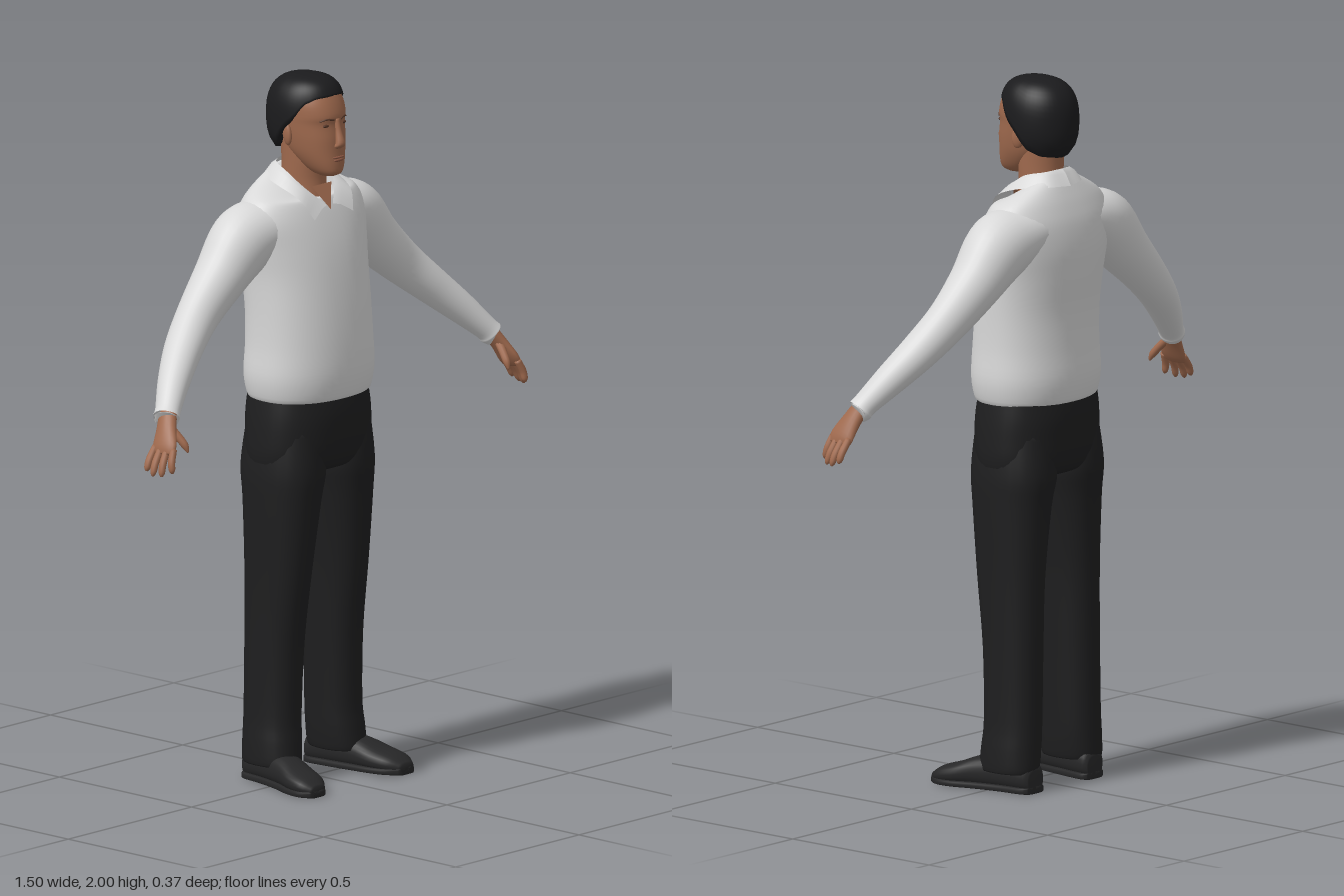
import * as THREE from 'three';

const V = (x, y, z) => new THREE.Vector3(x, y, z);
const X = V(1, 0, 0), Y = V(0, 1, 0), Z = V(0, 0, 1);

// Catmull-Rom interpolation of every column of a table of sections
function smooth(rows, steps) {
  const out = [], at = i => rows[Math.max(0, Math.min(rows.length - 1, i))];
  for (let i = 0; i < rows.length - 1; i++)
    for (let k = 0; k < steps; k++) {
      const t = k / steps;
      out.push(rows[i].map((b, c) => {
        const a = at(i - 1)[c], d = at(i + 1)[c], e = at(i + 2)[c];
        return b + 0.5 * t * (d - a + t * (2 * a - 5 * b + 4 * d - e + t * (3 * (b - d) + e - a)));
      }));
    }
  out.push(rows[rows.length - 1]);
  return out;
}

// Surface through closed rings of equal point count, optionally capped
function skinRings(rings, capped = true) {
  const n = rings[0].length, pos = [], idx = [];
  rings.forEach(r => r.forEach(p => pos.push(p.x, p.y, p.z)));
  for (let i = 0; i < rings.length - 1; i++)
    for (let j = 0; j < n; j++) {
      const a = i * n + j, b = i * n + (j + 1) % n;
      idx.push(a, b, a + n, b, b + n, a + n);
    }
  if (capped) [0, rings.length - 1].forEach(i => {
    const m = rings[i].reduce((s, p) => s.add(p), V(0, 0, 0)).divideScalar(n);
    const c = pos.length / 3;
    pos.push(m.x, m.y, m.z);
    for (let j = 0; j < n; j++) {
      const a = i * n + j, b = i * n + (j + 1) % n;
      idx.push(...(i ? [a, b, c] : [b, a, c]));
    }
  });
  const g = new THREE.BufferGeometry();
  g.setAttribute('position', new THREE.Float32BufferAttribute(pos, 3));
  g.setIndex(idx);
  g.computeVertexNormals();
  return g;
}

// Loft of superellipses; row = [x, y, z, radius across, radius along ref, tilt].
// With dir, all sections face that axis and rows must advance along it.
function loft(rows, { ref = Z, dir = null, power = 2, segs = 28, steps = 4 } = {}) {
  const r = smooth(rows, steps), c = r.map(q => V(q[0], q[1], q[2]));
  const sp = x => Math.sign(x) * Math.abs(x) ** (2 / power);
  return skinRings(r.map((q, i) => {
    const t = dir || c[Math.min(i + 1, c.length - 1)].clone().sub(c[Math.max(i - 1, 0)]).normalize();
    const v = ref.clone().addScaledVector(t, -ref.dot(t)).normalize(), u = v.clone().cross(t);
    return Array.from({ length: segs }, (_, j) => {
      const a = j / segs * Math.PI * 2, dv = q[4] * sp(Math.sin(a));
      const p = c[i].clone().addScaledVector(u, q[3] * sp(Math.cos(a))).addScaledVector(v, dv);
      p.y -= (q[5] || 0) * dv;
      return p;
    });
  }));
}

// Upright section from left, right, front and back limits
const level = (y, x0, x1, zf, zb, tilt = 0) =>
  [(x0 + x1) / 2, y, (zf + zb) / 2, (x1 - x0) / 2, (zf - zb) / 2, tilt];

// Hair cap whose lower edge follows a hairline, squarer at the front
function hairGeometry() {
  const line = [[0, 1.952], [.6, 1.947], [.95, 1.93], [1.25, 1.885], [1.5, 1.86], [1.8, 1.81], [2.2, 1.79], [Math.PI, 1.78]];
  const low = a => {
    const k = Math.max(1, line.findIndex(l => a <= l[0] + 1e-6));
    return THREE.MathUtils.mapLinear(a, line[k - 1][0], line[k][0], line[k - 1][1], line[k][1]);
  };
  const rings = [], N = 48, M = 16;
  for (let i = -1; i <= M; i++)
    rings.push(Array.from({ length: N }, (_, j) => {
      const a = j / N * Math.PI * 2, yl = low(Math.min(a, Math.PI * 2 - a));
      const t = 1 - Math.max(i, 0) / M, e = 2.6 + .7 * Math.max(0, Math.cos(a));
      const y = 2 - (2 - yl) * t * t;
      const h = Math.max(0, 1 - Math.abs((y - 1.88) / .12) ** e) ** (1 / e) * (i < 0 ? .82 : 1);
      return V(.1 * h * Math.sin(a), y, -.035 + .117 * h * Math.cos(a));
    }));
  return skinRings(rings, false);
}

// Half of the folded collar: strip between a neck edge and an outer edge
function collarGeometry(s) {
  const curve = pts => new THREE.CatmullRomCurve3(pts.map(p => V(p[0] * s, p[1], p[2]))).getPoints(20);
  const inner = curve([[0, 1.75, -.118], [.05, 1.745, -.1], [.073, 1.73, -.04], [.06, 1.69, .015], [.012, 1.638, .057]]);
  const outer = curve([[0, 1.705, -.15], [.075, 1.708, -.125], [.11, 1.698, -.045], [.102, 1.663, .04], [.078, 1.608, .073]]);
  const pos = [], idx = [];
  inner.forEach((p, i) => {
    const o = outer[i], m = p.clone().lerp(o, .4);
    m.y += .006;
    [p, m, o].forEach(q => pos.push(q.x, q.y, q.z));
    if (i) for (let k = 0; k < 2; k++) {
      const a = i * 3 + k, b = a - 3;
      idx.push(...(s > 0 ? [b, b + 1, a, a, b + 1, a + 1] : [b, a, b + 1, a, a + 1, b + 1]));
    }
  });
  const g = new THREE.BufferGeometry();
  g.setAttribute('position', new THREE.Float32BufferAttribute(pos, 3));
  g.setIndex(idx);
  g.computeVertexNormals();
  return g;
}

export function createModel() {
  const model = new THREE.Group();
  const mat = (name, color) => Object.assign(new THREE.MeshStandardMaterial({ color }), { name });
  const skin = mat('skin', 0xa06a4e), lip = mat('lips', 0x8c5743), hair = mat('hair', 0x1b1b1d);
  const shirt = mat('shirt', 0xd8d8d8), trousers = mat('trousers', 0x1e1e1f), shoe = mat('shoes', 0x272728);
  const eye = mat('eyes', 0x583829);
  shirt.side = skin.side = THREE.DoubleSide;
  const add = (name, geo, m) => {
    const mesh = new THREE.Mesh(geo, m);
    mesh.name = name;
    model.add(mesh);
    return mesh;
  };
  const blob = (name, m, p, r) => {
    const b = add(name, new THREE.SphereGeometry(1, 18, 12), m);
    b.position.set(...p);
    b.scale.set(...r);
    return b;
  };

  // Shirt body with a hem that tucks under
  const sym = (y, w, f, b, t) => level(y, -w, w, f, b, t);
  add('shirtBody', loft([
    sym(1.105, .175, .105, -.15), sym(1.098, .188, .118, -.162), sym(1.16, .2, .128, -.172),
    sym(1.25, .195, .125, -.168), sym(1.35, .195, .115, -.168), sym(1.45, .2, .1, -.178),
    sym(1.53, .212, .083, -.183), sym(1.6, .222, .062, -.176), sym(1.65, .198, .042, -.162),
    sym(1.675, .163, .032, -.145, .2), sym(1.695, .1, .022, -.125, .5), sym(1.7, .07, .01, -.11, .6)
  ], { dir: Y, power: 2.25, segs: 48 }), shirt);

  // Seat of the trousers
  add('trouserSeat', loft([
    sym(.885, .15, .06, -.115), sym(.9, .185, .088, -.142), sym(.94, .196, .104, -.156),
    sym(1, .195, .11, -.16), sym(1.06, .19, .11, -.162), sym(1.13, .18, .1, -.155)
  ], { dir: Y, power: 2.4, segs: 48 }), trousers);

  // Neck, open chest and head
  add('neck', loft([[0, 1.63, -.03, .052, .065], [0, 1.7, -.04, .058, .064], [0, 1.76, -.04, .06, .066],
    [0, 1.82, -.045, .062, .066]], { dir: Y }), skin);
  const chest = new THREE.BufferGeometry().setFromPoints([V(-.04, 1.69, .025), V(0, 1.623, .062), V(.04, 1.69, .025)]);
  chest.computeVertexNormals();
  add('openNeck', chest, skin);
  add('head', loft([
    sym(1.722, .02, .074, .02), sym(1.732, .036, .091, -.005), sym(1.755, .052, .094, -.04),
    sym(1.79, .067, .092, -.08), sym(1.83, .076, .09, -.105), sym(1.87, .081, .085, -.12),
    sym(1.895, .083, .088, -.125), sym(1.93, .082, .078, -.12), sym(1.965, .065, .062, -.09)
  ], { dir: Y, power: 2.2, segs: 36 }), skin);
  add('nose', loft([[0, 1.803, .088, .01, .006], [0, 1.81, .093, .017, .012], [0, 1.823, .097, .014, .013],
    [0, 1.855, .089, .009, .01], [0, 1.888, .082, .008, .008]], { dir: Y, segs: 16 }), skin);
  blob('upperLip', lip, [0, 1.778, .089], [.023, .004, .007]);
  blob('lowerLip', lip, [0, 1.77, .09], [.019, .005, .006]);

  for (const s of [1, -1]) {
    const side = s > 0 ? 'left' : 'right';
    const put = (name, rows, m, opt) => add(side + name, loft(rows.map(r => [r[0] * s, ...r.slice(1)]), opt), m);

    // Face details and ear
    blob(side + 'Eye', eye, [.033 * s, 1.87, .0745], [.013, .005, .006]);
    put('Brow', [[.014, 1.885, .086, .003, .003], [.034, 1.889, .08, .003, .003], [.053, 1.883, .067, .002, .003]],
      eye, { segs: 8 });
    blob(side + 'Ear', skin, [.082 * s, 1.84, -.028], [.01, .033, .019]).rotation.set(-.15, .3 * s, 0);
    add(side + 'Collar', collarGeometry(s), shirt);

    // Sleeve growing out of the shoulder, down to the cuff
    put('Sleeve', [
      [.05, 1.6, -.066, .06, .1], [.15, 1.577, -.068, .085, .097], [.225, 1.545, -.07, .096, .09], [.31, 1.467, -.068, .077, .075],
      [.41, 1.38, -.057, .063, .06], [.5, 1.303, -.03, .053, .055], [.58, 1.23, .008, .044, .046],
      [.642, 1.167, .044, .034, .037], [.657, 1.15, .052, .035, .038], [.655, 1.153, .051, .025, .028]
    ], shirt, { steps: 5 });

    // Palm, fingers and thumb
    put('Palm', [[.64, 1.175, .045, .021, .026], [.672, 1.125, .066, .019, .031],
      [.697, 1.08, .082, .016, .041], [.707, 1.058, .086, .01, .036]], skin, { segs: 18 });
    [[.742, 1.012, .056], [.744, 1.002, .081], [.735, 1.002, .106], [.715, 1.012, .129]].forEach((t, i) => {
      const b = [.703 - i * .002, 1.075, .053 + i * .021];
      const at = (k, r) => [...b.map((q, c) => q + (t[c] - q) * k + (c ? 0 : .006 * Math.sin(k * Math.PI))), r, r];
      put('Finger' + (i + 1), [at(0, .01), at(.5, .0105), at(.85, .009), at(1, .003)], skin, { segs: 10 });
    });
    put('Thumb', [[.667, 1.125, .075, .012, .014], [.658, 1.1, .1, .011, .012],
      [.652, 1.078, .118, .01, .01], [.65, 1.06, .127, .003, .003]], skin, { segs: 10, ref: X });

    // Trouser leg
    put('TrouserLeg', [
      level(.062, .075, .188, .04, -.115), level(.06, .066, .198, .05, -.128), level(.12, .059, .196, .046, -.13),
      level(.2, .056, .19, .04, -.13), level(.4, .05, .188, .047, -.13), level(.6, .04, .19, .07, -.132),
      level(.8, .016, .195, .09, -.142), level(.9, .001, .195, .1, -.154), level(1.02, .015, .18, .09, -.14)
    ], trousers, { dir: Y, power: 2.3 });

    // Shoe upper and flat sole
    const last = [[.125, .035, -.13, .03, .03], [.127, .046, -.11, .044, .044], [.135, .05, -.04, .046, .048],
      [.15, .046, .04, .051, .044], [.165, .035, .1, .057, .033], [.175, .027, .15, .05, .025], [.18, .018, .182, .026, .014]];
    put('Shoe', last, shoe, { dir: Z, ref: Y, power: 2.3 });
    put('Sole', last.map(r => [r[0], .01, r[2], r[3] + .002, .01]), shoe, { dir: Z, ref: Y, power: 5 });
  }
  add('hair', hairGeometry(), hair);
  return model;
}
